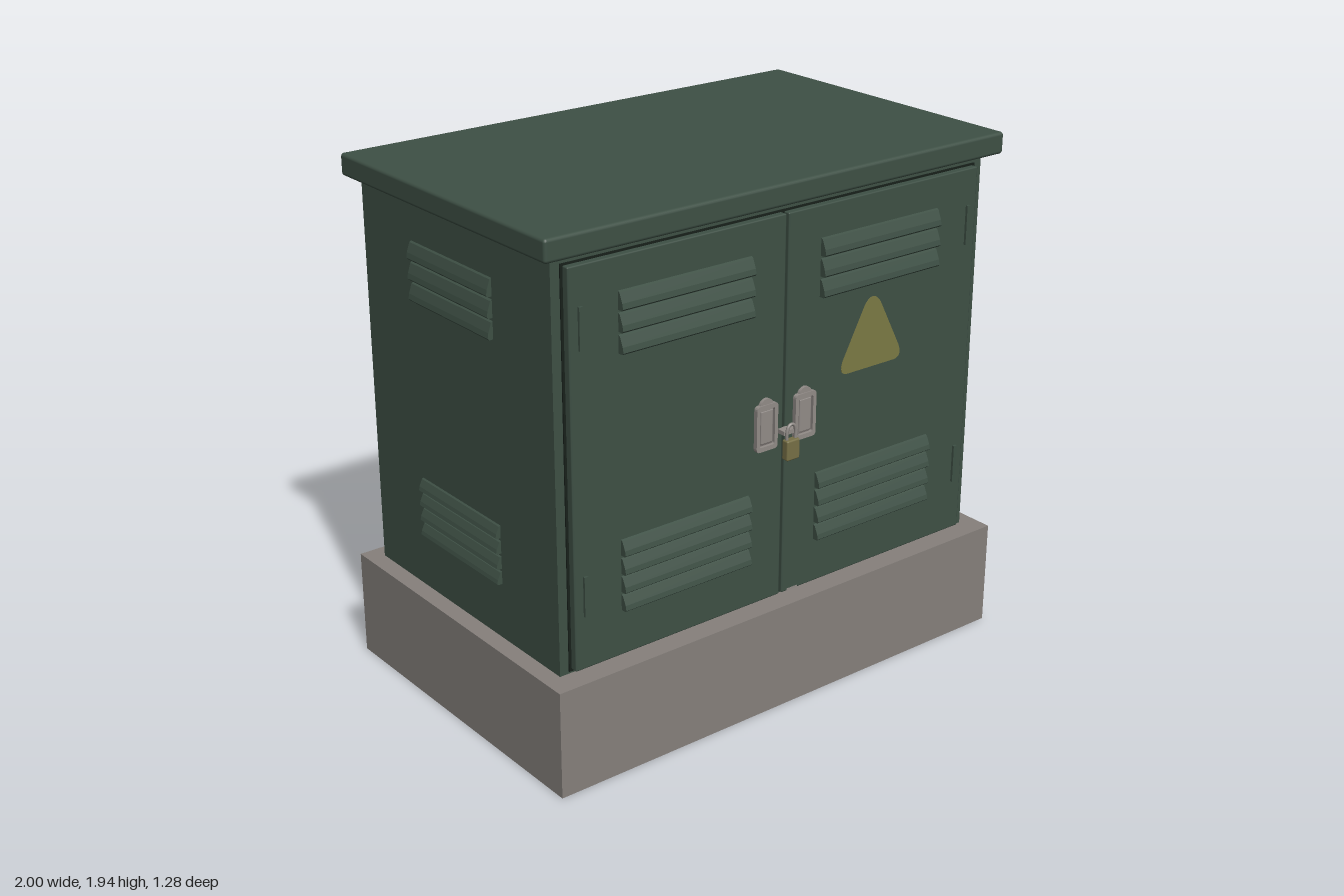
import * as THREE from 'three';
import { RoundedBoxGeometry } from 'three/addons/geometries/RoundedBoxGeometry.js';

const paint = (name, color, side = THREE.FrontSide) => {
  const m = new THREE.MeshStandardMaterial({ color, side });
  m.name = name;
  return m;
};

export function createModel() {
  const green = paint('cabinet green', 0x3e5045);
  const concrete = paint('concrete grey', 0x86807c);
  const steel = paint('worn steel', 0x928c88);
  const steelDark = paint('handle recess grey', 0x77706d);
  const yellow = paint('warning yellow', 0x7c7a45);
  const brass = paint('brass', 0x777046);
  const dark = paint('gap shadow green', 0x18201b);

  const model = new THREE.Group();
  model.name = 'electricalCabinet';

  const add = (name, geometry, material, x = 0, y = 0, z = 0, parent = model) => {
    const mesh = new THREE.Mesh(geometry, material);
    mesh.name = name;
    mesh.position.set(x, y, z);
    parent.add(mesh);
    return mesh;
  };
  // Box given by its limits on each axis
  const box = (name, material, [x0, x1], [y0, y1], [z0, z1], parent) =>
    add(name, new THREE.BoxGeometry(x1 - x0, y1 - y0, z1 - z0), material,
      (x0 + x1) / 2, (y0 + y1) / 2, (z0 + z1) / 2, parent);

  // Plinth, body and roof
  box('plinth', concrete, [-1, 1], [0, 0.4], [-0.64, 0.64]);
  box('body', green, [-0.935, 0.935], [0.4, 1.865], [-0.575, 0.55]);
  add('roof', new RoundedBoxGeometry(1.98, 0.08, 1.22, 2, 0.012), green, 0, 1.9, -0.005);

  // Double doors, with a dark gap behind their edges
  box('doorGap', dark, [-0.9, 0.9], [0.408, 1.832], [0.548, 0.554]);
  for (const s of [-1, 1]) {
    add(s < 0 ? 'rightDoor' : 'leftDoor', new RoundedBoxGeometry(0.886, 1.41, 0.03, 1, 0.005),
      green, s * 0.448, 1.12, 0.565);
  }

  // Hooded louvre: sloping profile swept along its length
  const louvre = (length, height, depth) => {
    const profile = new THREE.Shape([
      [0, 0], [depth * 0.75, 0], [depth, height * 0.1], [depth * 0.85, height * 0.4],
      [depth * 0.3, height * 0.93], [0, height],
    ].map(([x, y]) => new THREE.Vector2(x, y)));
    return new THREE.ExtrudeGeometry(profile, { depth: length, bevelEnabled: false })
      .translate(0, 0, -length / 2);
  };
  const louvreBank = (name, count, y0, y1, length, depth, x, z, turn) => {
    const bank = new THREE.Group();
    bank.name = name;
    bank.position.set(x, 0, z);
    bank.rotation.y = turn;
    const pitch = (y1 - y0 + 0.01) / count;
    const geometry = louvre(length, pitch - 0.01, depth);
    for (let i = 0; i < count; i++) add('louvre', geometry, green, 0, y0 + i * pitch, 0, bank);
    model.add(bank);
  };
  for (const s of [-1, 1]) {
    const x = s < 0 ? -0.428 : 0.423;
    louvreBank('upperDoorLouvres', 3, 1.5, 1.71, 0.545, 0.026, x, 0.58, -Math.PI / 2);
    louvreBank('lowerDoorLouvres', 4, 0.585, 0.845, 0.545, 0.026, x, 0.58, -Math.PI / 2);
    const turn = s < 0 ? Math.PI : 0;
    louvreBank('upperSideLouvres', 3, 1.495, 1.705, 0.485, 0.021, s * 0.935, -0.022, turn);
    louvreBank('lowerSideLouvres', 4, 0.61, 0.83, 0.485, 0.021, s * 0.935, -0.022, turn);

    // Hinge strips near the outer door edges
    for (const y of [0.685, 1.618]) {
      add('hinge', new THREE.BoxGeometry(0.015, 0.146, 0.012), green, s * 0.848, y, 0.583);
    }
  }

  // Flush handles: rounded frame, recessed lever and a lock tab on top
  const roundedRect = (shape, w, h, r) => {
    const x = w / 2, y = h / 2;
    shape.moveTo(-x + r, -y).lineTo(x - r, -y).quadraticCurveTo(x, -y, x, -y + r)
      .lineTo(x, y - r).quadraticCurveTo(x, y, x - r, y)
      .lineTo(-x + r, y).quadraticCurveTo(-x, y, -x, y - r)
      .lineTo(-x, -y + r).quadraticCurveTo(-x, -y, -x + r, -y);
    return shape;
  };
  const frame = roundedRect(new THREE.Shape(), 0.094, 0.17, 0.015);
  frame.holes.push(roundedRect(new THREE.Path(), 0.066, 0.136, 0.008));
  const frameGeometry = new THREE.ExtrudeGeometry(frame, { depth: 0.016, bevelEnabled: false, curveSegments: 4 });
  for (const s of [-1, 1]) {
    const handle = new THREE.Group();
    handle.name = s < 0 ? 'rightHandle' : 'leftHandle';
    handle.position.set(s * 0.087, 1.085, 0.58);
    model.add(handle);
    add('handleFrame', frameGeometry, steel, 0, 0, 0, handle);
    box('handleRecess', steelDark, [-0.034, 0.034], [-0.069, 0.069], [0, 0.004], handle);
    add('handleLever', new RoundedBoxGeometry(0.054, 0.122, 0.012, 1, 0.004), steel, 0, 0.002, 0.008, handle);
    const tab = add('handleTab', new THREE.CylinderGeometry(0.03, 0.03, 0.012, 16), steel, 0, 0.076, 0.006, handle);
    tab.rotation.x = Math.PI / 2;
  }

  // Hasp and padlock joining the doors
  box('hasp', steel, [-0.028, 0.028], [1.045, 1.06], [0.578, 0.615]);
  add('padlockBody', new RoundedBoxGeometry(0.058, 0.075, 0.03, 2, 0.006), brass, 0, 0.992, 0.62);
  const shackle = new THREE.CatmullRomCurve3([
    [-0.019, 1.02], [-0.019, 1.06], [-0.012, 1.078], [0, 1.084], [0.012, 1.078], [0.019, 1.06], [0.019, 1.02],
  ].map(([x, y]) => new THREE.Vector3(x, y, 0.62)));
  add('padlockShackle', new THREE.TubeGeometry(shackle, 20, 0.006, 8), steel);

  // Warning signs: rounded triangles on the front and back
  const sign = new THREE.Shape();
  sign.moveTo(-0.115, 0).lineTo(0.115, 0).quadraticCurveTo(0.155, 0.005, 0.132, 0.055)
    .lineTo(0.038, 0.235).quadraticCurveTo(0, 0.29, -0.038, 0.235)
    .lineTo(-0.132, 0.055).quadraticCurveTo(-0.155, 0.005, -0.115, 0);
  const signGeometry = new THREE.ExtrudeGeometry(sign, { depth: 0.003, bevelEnabled: false });
  add('frontWarningSign', signGeometry, yellow, 0.4, 1.185, 0.579);
  const backSign = add('backWarningSign', signGeometry, yellow, -0.376, 1.165, -0.574);
  backSign.rotation.y = Math.PI;
  backSign.scale.x = 0.83;

  // Bare patches on the back
  for (const [x, y, w, h] of [[0.1, 1.095, 0.025, 0.045], [0.008, 0.98, 0.023, 0.027], [-0.082, 1.085, 0.026, 0.045]]) {
    const patch = add('barePatch', new THREE.CylinderGeometry(1, 1, 0.004, 16), steel, x, y, -0.576);
    patch.rotation.x = Math.PI / 2;
    patch.scale.set(w, 1, h);
  }

  // Chipped paint on edges
  box('paintChip', steel, [0.925, 0.936], [0.405, 0.47], [-0.576, -0.566]);
  box('paintChip', steel, [0.03, 0.08], [0.416, 0.424], [0.577, 0.581]);
  box('paintChip', steel, [0.965, 0.988], [1.87, 1.93], [-0.616, -0.612]);

  return model;
}
